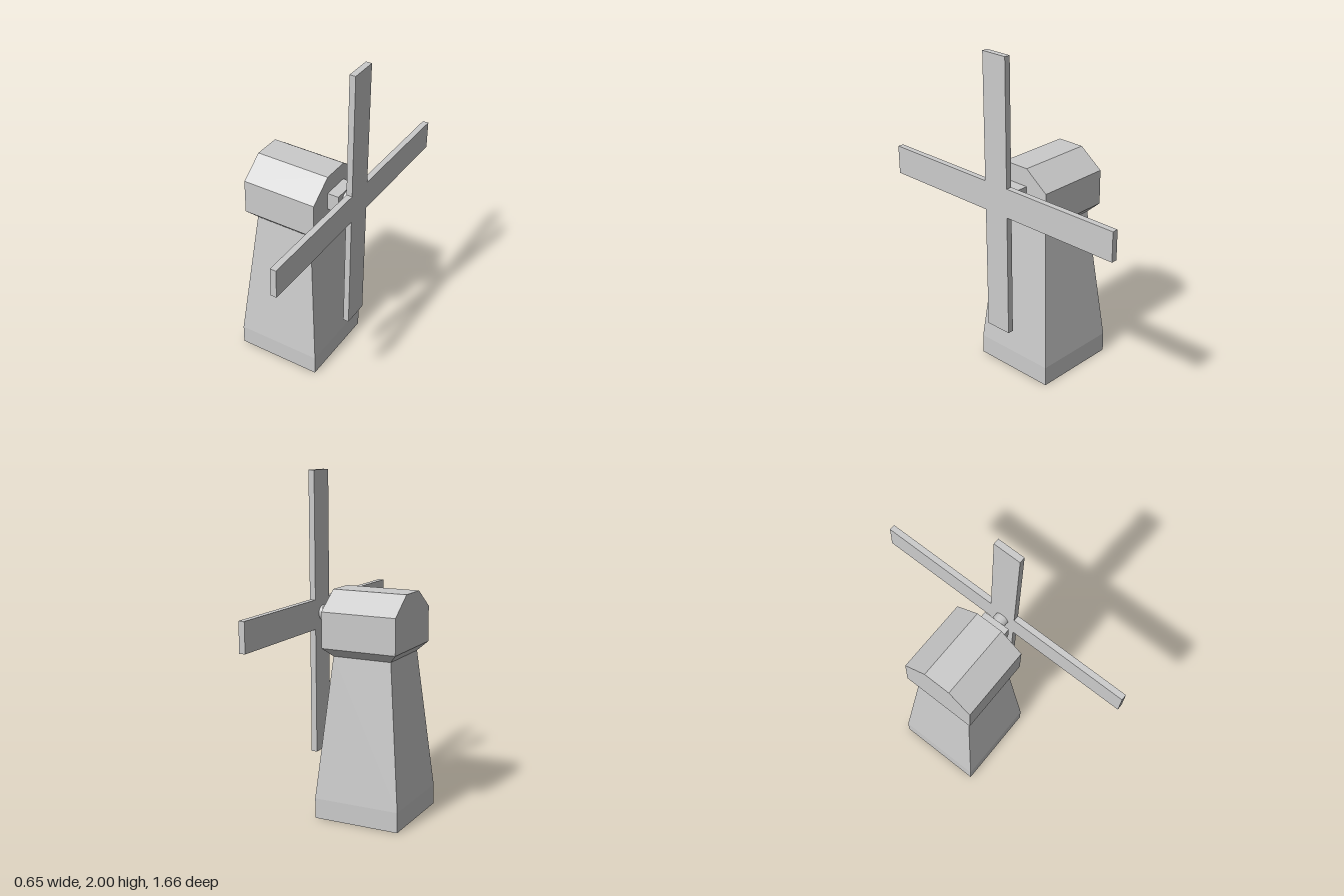
import * as THREE from 'three';

const TOWER_X = -0.0625;

export function createModel() {
  const group = new THREE.Group();
  const flat = new THREE.MeshStandardMaterial({ color: 0xcccccc, flatShading: true });
  const smooth = new THREE.MeshStandardMaterial({ color: 0xcccccc });

  const add = (name, geometry, material = flat) => {
    const mesh = new THREE.Mesh(geometry, material);
    mesh.name = name;
    group.add(mesh);
    return mesh;
  };

  // Outline given as [z, y] pairs, extruded along x from x0 to x1
  const extrudeX = (outline, x0, x1) => {
    const shape = new THREE.Shape(outline.map(([z, y]) => new THREE.Vector2(z, y)));
    const geometry = new THREE.ExtrudeGeometry(shape, { depth: x1 - x0, bevelEnabled: false });
    return geometry.rotateY(Math.PI / 2).translate(x0, 0, 0);
  };

  // Square solid from [half width, y] pairs, bottom to top
  const squareLoft = (profile) => {
    const points = profile.map(([half, y]) => new THREE.Vector2(half * Math.SQRT2, y));
    return new THREE.LatheGeometry(points, 4).rotateY(Math.PI / 4).translate(TOWER_X, 0, 0);
  };

  // Tapered tower with a short straight plinth
  add('tower', squareLoft([[0, 0], [0.263, 0], [0.263, 0.12], [0.18, 0.96]]));

  // Flared collar under the cap
  add('collar', squareLoft([[0.18, 0.96], [0.23, 1.01]]));

  // Cap with chamfered roof
  add('cap', extrudeX([
    [-0.23, 1.01], [0.23, 1.01], [0.23, 1.22],
    [0.085, 1.33], [-0.085, 1.33], [-0.23, 1.22],
  ], TOWER_X - 0.23, TOWER_X + 0.23));

  // Bearing block and round shaft
  add('bearingBlock', new THREE.BoxGeometry(0.07, 0.105, 0.17)).position.set(0.203, 1.17, 0);
  const shaft = add('shaft', new THREE.CylinderGeometry(0.042, 0.042, 0.06, 32), smooth);
  shaft.rotation.z = Math.PI / 2;
  shaft.position.set(0.262, 1.172, 0);

  // Four sails as one cross
  const w = 0.083, r = 0.83, cy = 1.17, h = 0.087;
  add('sails', extrudeX([
    [-w, cy - r], [w, cy - r], [w, cy - h], [r, cy - h], [r, cy + h], [w, cy + h],
    [w, cy + r], [-w, cy + r], [-w, cy + h], [-r, cy + h], [-r, cy - h], [-w, cy - h],
  ], 0.287, 0.323));

  return group;
}
